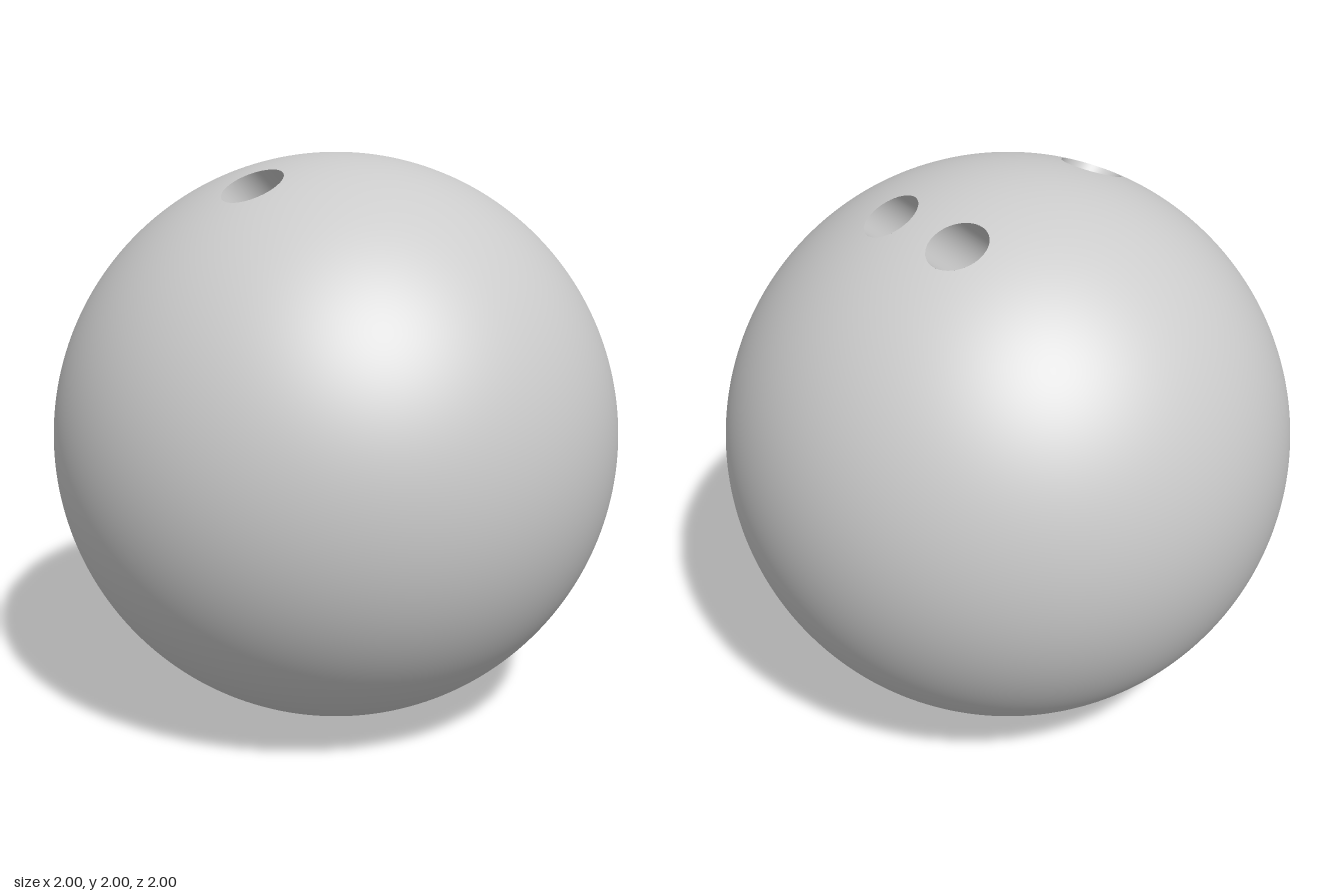
import * as THREE from 'three';

// Each hole: rim centre (x, z), radius, and the way its axis leans outward
const HOLES = [
  { name: 'backFingerHole', x: 0.395, z: -0.14, r: 0.094, lean: 1 },
  { name: 'frontFingerHole', x: 0.37, z: 0.18, r: 0.094, lean: 1 },
  { name: 'thumbHole', x: -0.375, z: -0.052, r: 0.104, lean: -1 },
].map((h) => ({
  ...h,
  centre: new THREE.Vector3(h.x, Math.sqrt(1 - h.x * h.x - h.z * h.z), h.z),
  axis: new THREE.Vector3(0.77 * h.lean, 0.64, 0).normalize(),
}));
const DEPTH = 0.4;

// Slide a point along a direction until it lies on the unit sphere
function slideToSphere(p, dir) {
  const b = p.dot(dir);
  return p.addScaledVector(dir, -b + Math.sqrt(b * b - p.lengthSq() + 1));
}

// Sphere whose vertices inside a hole are pushed out to the rim, with the covered faces removed
function ballGeometry() {
  const geo = new THREE.SphereGeometry(1, 320, 160);
  const pos = geo.attributes.position;
  const onRim = new Array(pos.count).fill(-1);
  const p = new THREE.Vector3();
  const q = new THREE.Vector3();
  for (let i = 0; i < pos.count; i++) {
    HOLES.forEach((h, k) => {
      q.copy(p.fromBufferAttribute(pos, i)).sub(h.centre);
      const t = q.dot(h.axis);
      q.addScaledVector(h.axis, -t);
      if (t < -0.4 || q.length() >= h.r) return;
      if (q.length() < 1e-6) q.set(0, 0, 1);
      slideToSphere(p.copy(h.centre).add(q.setLength(h.r)), h.axis);
      pos.setXYZ(i, p.x, p.y, p.z);
      geo.attributes.normal.setXYZ(i, p.x, p.y, p.z);
      onRim[i] = k;
    });
  }
  const kept = [];
  const idx = geo.index.array;
  for (let i = 0; i < idx.length; i += 3) {
    const [a, b, c] = [idx[i], idx[i + 1], idx[i + 2]];
    if (onRim[a] >= 0 && onRim[a] === onRim[b] && onRim[a] === onRim[c]) continue;
    kept.push(a, b, c);
  }
  geo.setIndex(kept);
  return geo;
}

// Drilled wall: open cylinder whose upper edge follows the ball's surface
function wallGeometry(h) {
  const geo = new THREE.CylinderGeometry(h.r, h.r, DEPTH, 64, 1, true);
  geo.translate(0, -DEPTH / 2, 0);
  geo.applyQuaternion(new THREE.Quaternion().setFromUnitVectors(new THREE.Vector3(0, 1, 0), h.axis));
  geo.translate(h.centre.x, h.centre.y, h.centre.z);
  const pos = geo.attributes.position;
  const p = new THREE.Vector3();
  for (let i = 0; i <= 64; i++) {
    slideToSphere(p.fromBufferAttribute(pos, i), h.axis);
    pos.setXYZ(i, p.x, p.y, p.z);
  }
  return geo;
}

export function createModel() {
  const model = new THREE.Group();
  model.name = 'bowlingBall';
  const outer = new THREE.MeshStandardMaterial({ color: 0xcccccc });
  const inner = new THREE.MeshStandardMaterial({ color: 0xcccccc, side: THREE.DoubleSide });

  const ball = new THREE.Mesh(ballGeometry(), outer);
  ball.name = 'ball';
  model.add(ball);

  for (const h of HOLES) {
    const hole = new THREE.Group();
    hole.name = h.name;
    const wall = new THREE.Mesh(wallGeometry(h), inner);
    wall.name = h.name + 'Wall';
    // Flat floor at the bottom of the hole
    const floor = new THREE.Mesh(new THREE.CircleGeometry(h.r, 64), inner);
    floor.name = h.name + 'Floor';
    floor.quaternion.setFromUnitVectors(new THREE.Vector3(0, 0, 1), h.axis);
    floor.position.copy(h.centre).addScaledVector(h.axis, -DEPTH);
    hole.add(wall, floor);
    model.add(hole);
  }
  // Rest the ball on the ground plane
  model.children.forEach((part) => { part.position.y += 1; });
  return model;
}
